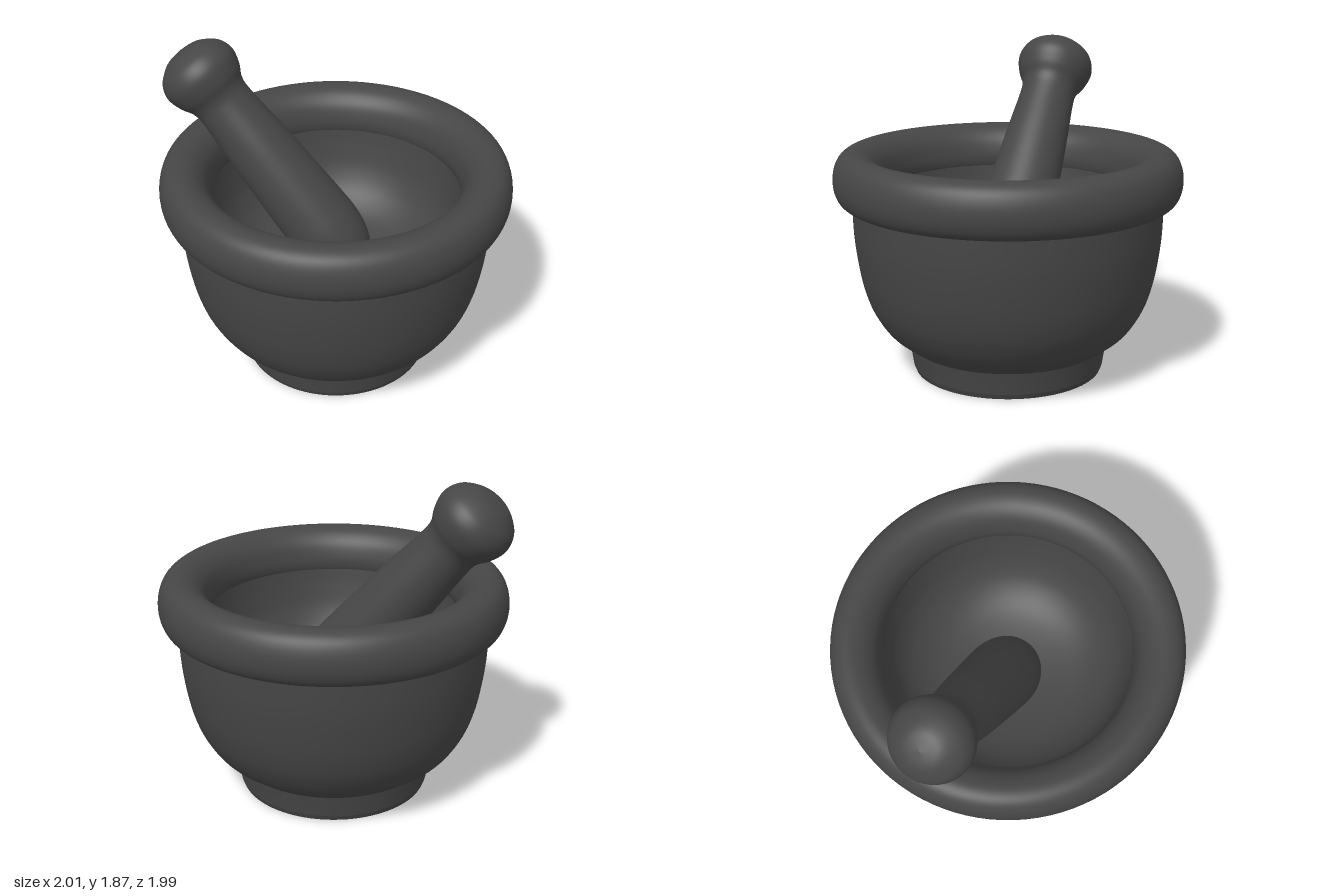
import * as THREE from 'three';

export function createModel() {
  const model = new THREE.Group();
  const stone = new THREE.MeshStandardMaterial({ color: 0x464646 });
  stone.name = 'dark stone';

  // Turn a smooth curve through [radius, height] points around the y axis
  function turned(name, points, samples, parent) {
    const curve = new THREE.SplineCurve(points.map(([r, y]) => new THREE.Vector2(r, y)));
    const profile = curve.getPoints(samples).map((p) => p.set(Math.max(p.x, 0), p.y));
    const mesh = new THREE.Mesh(new THREE.LatheGeometry(profile, 96), stone);
    mesh.name = name;
    parent.add(mesh);
    return mesh;
  }

  const mortar = new THREE.Group();
  mortar.name = 'mortar';
  mortar.position.x = 0.005;
  model.add(mortar);

  // Foot: flat underside, small bevel and a flaring wall
  turned('footUnderside', [[0, 0], [0.545, 0]], 1, mortar);
  turned('footBevel', [[0.545, 0], [0.557, 0.03]], 2, mortar);
  turned('footWall', [[0.557, 0.03], [0.568, 0.1], [0.58, 0.17]], 8, mortar);

  // Rounded outer body
  turned('bowlBody', [
    [0.57, 0.155], [0.62, 0.19], [0.71, 0.265], [0.785, 0.38],
    [0.83, 0.5], [0.86, 0.64], [0.882, 0.82], [0.888, 1.01],
  ], 40, mortar);

  // Thick rolled rim
  turned('rim', [
    [0.87, 1.0], [0.92, 1.003], [0.965, 1.035], [0.99, 1.1], [0.99, 1.18],
    [0.965, 1.25], [0.92, 1.29], [0.86, 1.3], [0.79, 1.275], [0.735, 1.215],
    [0.71, 1.13], [0.712, 1.07], [0.73, 1.03],
  ], 64, mortar);

  // Hollow inside with a curved floor
  turned('bowlInterior', [
    [0.72, 1.08], [0.7, 0.95], [0.66, 0.8], [0.58, 0.67],
    [0.44, 0.57], [0.23, 0.515], [0, 0.5],
  ], 40, mortar);

  // Pestle: rounded grinding end, tapering shaft and a flattened ball grip
  const pestle = turned('pestle', [
    [0, -1.46], [0.09, -1.43], [0.16, -1.36], [0.2, -1.26], [0.215, -1.14],
    [0.212, -1.0], [0.202, -0.8], [0.185, -0.5], [0.166, -0.24],
    [0.172, -0.15], [0.208, -0.08], [0.23, 0], [0.217, 0.065],
    [0.18, 0.115], [0.1, 0.165], [0, 0.18],
  ], 96, model);
  pestle.position.set(-0.793, 1.67, 0);
  pestle.rotation.z = THREE.MathUtils.degToRad(40);

  return model;
}
